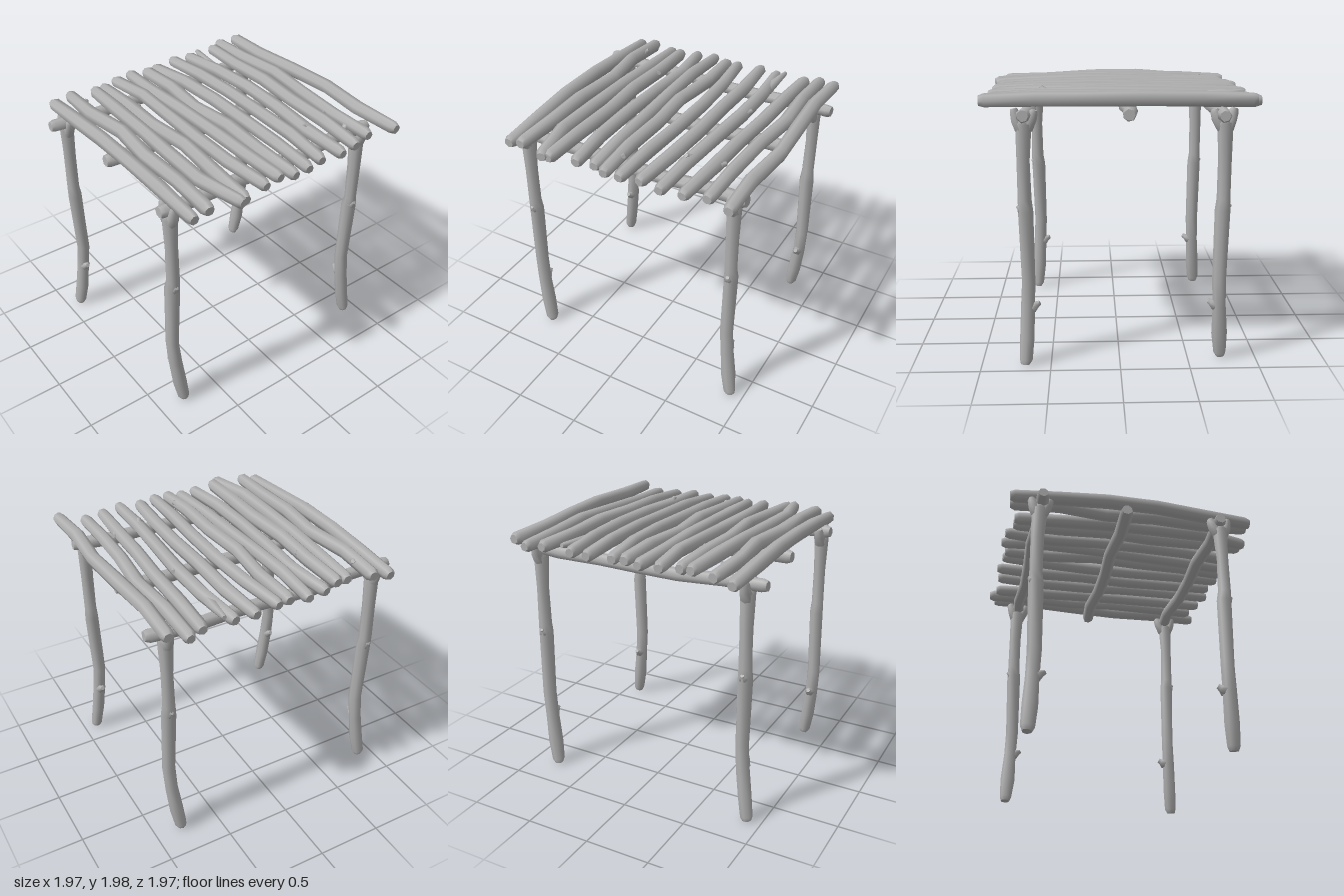
import * as THREE from 'three';

const wood = new THREE.MeshStandardMaterial({ color: 0xb0b0b0 });
wood.name = 'grey wood';

let seed = 7;
const rand = () => (seed = (seed * 16807) % 2147483647) / 2147483647;

// Knobbly stick through points [x, y, z, radius], with small bevelled ends
function stick(name, points, sides = 7, blunt = 0.7) {
  const P = points.map(p => new THREE.Vector3(p[0], p[1], p[2]));
  const R = points.map(p => p[3]);
  const n = P.length;
  const insetAt = (a, b) => Math.min(0.035 / P[a].distanceTo(P[b]), 0.3);
  // extra rings just inside both tips make the bevel
  const first = P[0].clone().lerp(P[1], insetAt(0, 1));
  const last = P[n - 1].clone().lerp(P[n - 2], insetAt(n - 1, n - 2));
  const C = [P[0], first, ...P.slice(1, -1), last, P[n - 1]];
  const rad = [R[0] * blunt, R[0], ...R.slice(1, -1), R[n - 1], R[n - 1] * blunt];
  const pos = [], idx = [];
  C.forEach((c, i) => {
    const t = C[Math.min(i + 1, C.length - 1)].clone().sub(C[Math.max(i - 1, 0)]).normalize();
    const ref = Math.abs(t.y) > 0.7 ? new THREE.Vector3(0, 0, 1) : new THREE.Vector3(0, 1, 0);
    const u = ref.cross(t).normalize();
    const v = t.clone().cross(u);
    for (let j = 0; j < sides; j++) {
      const a = (j / sides) * Math.PI * 2;
      const r = rad[i] * (0.94 + 0.14 * rand());
      const q = c.clone().addScaledVector(u, Math.cos(a) * r).addScaledVector(v, Math.sin(a) * r);
      pos.push(q.x, q.y, q.z);
    }
  });
  for (let i = 0; i < C.length - 1; i++) {
    for (let j = 0; j < sides; j++) {
      const k = (j + 1) % sides, a = i * sides, b = a + sides;
      idx.push(a + j, a + k, b + j, a + k, b + k, b + j);
    }
  }
  // flat caps use their own corners so the cut edge stays crisp
  for (const end of [0, C.length - 1]) {
    const base = pos.length / 3;
    pos.push(...pos.slice(end * sides * 3, (end + 1) * sides * 3));
    for (let j = 1; j < sides - 1; j++) {
      if (end) idx.push(base, base + j, base + j + 1);
      else idx.push(base, base + j + 1, base + j);
    }
  }
  const g = new THREE.BufferGeometry();
  g.setAttribute('position', new THREE.Float32BufferAttribute(pos, 3));
  g.setIndex(idx);
  g.computeVertexNormals();
  const m = new THREE.Mesh(g, wood);
  m.name = name;
  return m;
}

// One forked post; sx = -1 turns it half way round for the other side
function post(name, sx, zc) {
  const leg = new THREE.Group();
  leg.name = name;
  const at = (x, y, z, r) => [sx * x - 0.03, y, zc + sx * z, r];
  leg.add(stick('postTrunk', [
    at(0.715, 0.01, 0.055, 0.047), at(0.70, 0.2, 0.025, 0.054), at(0.69, 0.42, 0, 0.05),
    at(0.682, 0.62, -0.014, 0.05), at(0.69, 1.14, 0, 0.055), at(0.698, 1.22, 0, 0.048),
    at(0.698, 1.5, 0, 0.046), at(0.69, 1.79, 0, 0.055)].map(([x, y, z, r]) => [x, y, 2 * zc - z, r]), 8));
  leg.add(stick('forkOuter', [at(0.70, 1.7, 0, 0.045), at(0.735, 1.78, 0, 0.04), at(0.755, 1.86, 0, 0.033)]));
  leg.add(stick('forkInner', [at(0.685, 1.7, 0, 0.045), at(0.635, 1.79, 0, 0.04), at(0.615, 1.85, 0, 0.033)]));
  leg.add(stick('lowerKnot', [at(0.675, 0.42, 0, 0.042), at(0.605, 0.46, 0, 0.024)], 6));
  leg.add(stick('upperKnot', [at(0.71, 1.15, 0, 0.04), at(0.748, 1.18, 0, 0.02)], 6));
  return leg;
}

// Beam from front to back, sagging a little in the middle
function beam(name, x, front, back, r) {
  const pts = [];
  for (let i = 0; i <= 6; i++) {
    const t = i / 6;
    pts.push([x + 0.015 * Math.sin(i * 2.2), 1.82 - 0.025 * Math.sin(Math.PI * t), front + (back - front) * t, r]);
  }
  return stick(name, pts, 7, 0.8);
}

// Roof slats, back to front: both end x, then z at even steps along the slat
const slats = [
  [-0.93, 0.95, -0.91, -0.89, -0.92, -0.945, -0.91, -0.93],
  [-0.98, 0.87, -0.78, -0.77, -0.8, -0.76, -0.74, -0.74],
  [-0.93, 0.91, -0.67, -0.65, -0.65, -0.62, -0.61, -0.58],
  [-0.93, 0.94, -0.43, -0.47, -0.48, -0.46, -0.43, -0.425],
  [-0.95, 0.91, -0.28, -0.31, -0.31, -0.31, -0.3, -0.26],
  [-0.92, 0.94, -0.09, -0.14, -0.155, -0.15, -0.135, -0.12],
  [-0.91, 0.94, 0, -0.01, 0.03, 0, 0.015, 0],
  [-0.95, 0.9, 0.13, 0.15, 0.135, 0.125, 0.12, 0.1],
  [-0.93, 0.92, 0.28, 0.235, 0.255, 0.27, 0.27, 0.235],
  [-0.88, 0.96, 0.41, 0.41, 0.425, 0.395, 0.42, 0.435],
  [-0.88, 0.98, 0.49, 0.51, 0.525, 0.54, 0.55, 0.475],
  [-0.93, 0.92, 0.68, 0.7, 0.65, 0.69, 0.68, 0.7],
  [-0.94, 0.91, 0.82, 0.82, 0.82, 0.82, 0.81, 0.81],
];

// Slat with a slight arch; the back one rides highest, the front one bends most
function slat([x0, x1, ...zs], row) {
  const y = row === 0 ? 1.915 : row === 12 ? 1.865 : 1.89;
  const arch = row === 12 ? 0.045 : 0.02;
  const r = 0.049 + 0.006 * rand();
  return stick('slat', zs.map((z, i) => {
    const t = i / (zs.length - 1);
    const tip = i === 0 || i === zs.length - 1;
    return [x0 + (x1 - x0) * t, y + arch * Math.sin(Math.PI * t) + 0.01 * rand(), z, tip ? r * 0.9 : r];
  }));
}

// Broken twig stubs on the slats: base x, z, then the step to the tip
const stubs = [
  [0.52, -0.61, -0.06, 0.02, -0.065],
  [-0.62, -0.47, -0.29, 0.03, -0.035],
  [-0.12, -0.46, -0.12, 0.03, -0.07],
  [0.5, -0.44, 0.06, 0.06, 0.02],
  [0.7, 0.01, 0.04, 0.03, -0.05],
  [-0.45, 0.41, 0.03, 0.03, -0.05],
  [-0.7, 0.69, -0.03, 0.03, -0.05],
  [0.66, -0.74, 0, -0.02, 0.06],
];

export function createModel() {
  seed = 7;
  const model = new THREE.Group();
  model.name = 'stickShelter';
  model.add(post('frontLeftPost', 1, 0.835), post('backLeftPost', 1, -0.84));
  model.add(post('frontRightPost', -1, 0.835), post('backRightPost', -1, -0.84));
  model.add(beam('rightBeam', -0.71, 0.97, -0.98, 0.047));
  model.add(beam('middleBeam', -0.07, 0.88, -0.9, 0.051));
  model.add(beam('leftBeam', 0.65, 0.91, -0.93, 0.05));
  const roof = new THREE.Group();
  roof.name = 'roofSlats';
  slats.forEach((s, row) => roof.add(slat(s, row)));
  for (const [x, z, dx, dy, dz] of stubs) {
    roof.add(stick('twigStub', [[x, 1.9, z, 0.042], [x + dx, 1.9 + dy, z + dz, 0.022]], 6));
  }
  model.add(roof);
  return model;
}
